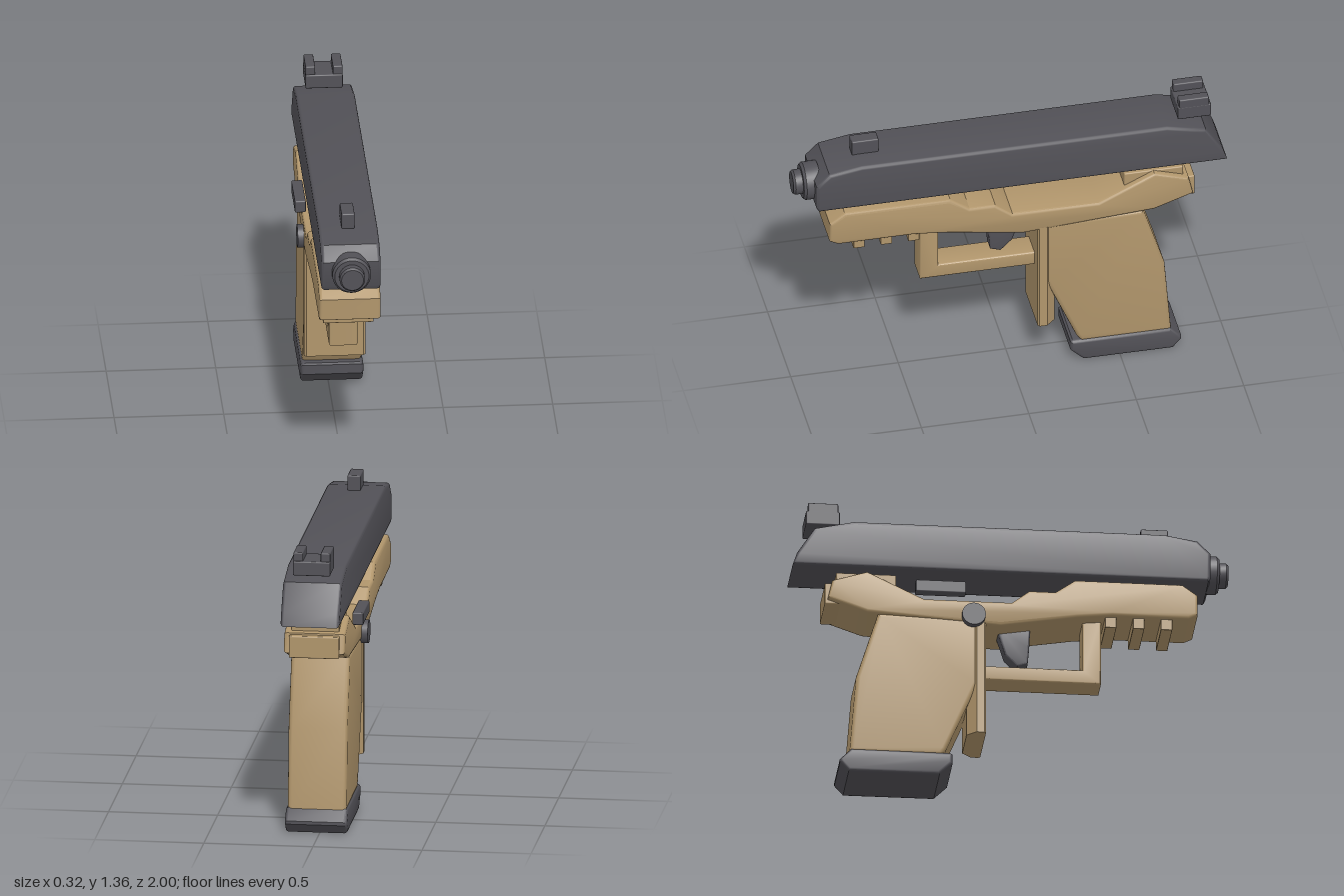
import * as THREE from 'three';
import { toCreasedNormals } from 'three/addons/utils/BufferGeometryUtils.js';
import { RoundedBoxGeometry } from 'three/addons/geometries/RoundedBoxGeometry.js';

const CX = 0.015; // centre plane of the body

export function createModel() {
  const model = new THREE.Group();
  const dark = new THREE.MeshStandardMaterial({ color: 0x525157 });
  dark.name = 'dark grey';
  const tan = new THREE.MeshStandardMaterial({ color: 0xb0956b });
  tan.name = 'tan';

  function add(name, geometry, material) {
    const mesh = new THREE.Mesh(geometry, material);
    mesh.name = name;
    model.add(mesh);
    return mesh;
  }

  // side profile of [z, y] points, extruded across x with softened edges
  function profile(name, points, width, bevel, material) {
    const shape = new THREE.Shape(points.map(([z, y]) => new THREE.Vector2(z, y)));
    const geometry = new THREE.ExtrudeGeometry(shape, {
      depth: width - 2 * bevel, bevelEnabled: true, bevelThickness: bevel,
      bevelSize: bevel, bevelOffset: -bevel, bevelSegments: 3,
    });
    geometry.translate(0, 0, bevel - width / 2);
    geometry.rotateY(-Math.PI / 2);
    geometry.translate(CX, 0, 0);
    return add(name, toCreasedNormals(geometry, 0.6), material);
  }

  // box from its extents, with slightly rounded edges
  function box(name, x0, x1, y0, y1, z0, z1, material, radius = 0.006) {
    const geometry = new RoundedBoxGeometry(x1 - x0, y1 - y0, z1 - z0, 2, radius);
    geometry.translate((x0 + x1) / 2, (y0 + y1) / 2, (z0 + z1) / 2);
    return add(name, geometry, material);
  }

  // slide and muzzle
  profile('slide', [
    [0.9, 1.03], [0.91, 1.05], [0.91, 1.17], [0.85, 1.23], [0.7, 1.255],
    [-0.72, 1.255], [-0.9, 1.215], [-0.98, 1.09], [-1, 1.03],
  ], 0.27, 0.015, dark);
  const muzzle = new THREE.LatheGeometry([
    [0, 0.88], [0.088, 0.88], [0.088, 0.945], [0.078, 0.957], [0.058, 0.957],
    [0.058, 0.99], [0.05, 1], [0, 1],
  ].map(([r, y]) => new THREE.Vector2(r, y)), 32);
  muzzle.rotateX(Math.PI / 2);
  muzzle.translate(CX, 1.12, 0);
  add('muzzle', toCreasedNormals(muzzle, 0.6), dark);

  // sights
  box('frontSight', -0.015, 0.045, 1.25, 1.325, 0.6, 0.725, dark);
  box('rearSightBase', -0.07, 0.1, 1.255, 1.322, -0.935, -0.78, dark);
  for (const side of [-1, 1]) {
    const x = CX + side * 0.0625;
    box('rearSightPost', x - 0.022, x + 0.022, 1.3, 1.362, -0.925, -0.787, dark);
  }

  // frame with its rear tang blocks
  profile('frame', [
    [0.85, 0.855], [0.85, 0.955], [0.78, 1.005], [0.29, 1.005], [0.2, 0.942],
    [0.08, 0.942], [0, 0.88], [-0.4, 0.88], [-0.66, 1.005], [-0.82, 0.955],
    [-0.84, 0.865], [-0.66, 0.803], [-0.05, 0.763], [0.3, 0.82], [0.46, 0.836],
    [0.81, 0.836],
  ], 0.28, 0.014, tan);
  box('rearTopBlock', -0.095, 0.125, 0.9, 1.005, -0.8, -0.525, tan);
  box('rearTang', -0.1, 0.13, 0.845, 0.948, -0.852, -0.74, tan);

  // accessory rail ribs
  for (let i = 0; i < 3; i++) {
    const z = 0.71 - i * 0.1275;
    box('railRib', -0.1, 0.13, 0.785, 0.85, z - 0.026, z + 0.026, tan, 0.003);
  }

  // trigger and guard
  profile('triggerGuard', [
    [0.33, 0.84], [0.415, 0.84], [0.415, 0.522], [-0.15, 0.522], [-0.15, 0.59], [0.33, 0.59],
  ], 0.13, 0.008, tan);
  profile('trigger', [
    [0.095, 0.8], [0.09, 0.7], [0.083, 0.622], [0.035, 0.606], [-0.02, 0.66],
    [-0.055, 0.77], [-0.05, 0.8],
  ], 0.08, 0.008, dark);

  // front strap: full width in front, tapering toward the back
  const strapShape = new THREE.Shape([
    [-0.13, 0.117], [-0.14, 0.125], [-0.14, 0.16], [-0.1, 0.203],
    [0.1, 0.203], [0.14, 0.16], [0.14, 0.125], [0.13, 0.117],
  ].map(([x, z]) => new THREE.Vector2(x, z)));
  const strap = new THREE.ExtrudeGeometry(strapShape, { depth: 0.56, bevelEnabled: false });
  strap.rotateX(-Math.PI / 2);
  strap.translate(CX, 0.222, 0);
  add('frontStrap', strap, tan);

  // grip and its base
  profile('grip', [
    [-0.155, 0.79], [-0.155, 0.47], [-0.3, 0.13], [-0.32, 0.1], [-0.74, 0.1],
    [-0.71, 0.48], [-0.61, 0.8],
  ], 0.27, 0.02, tan);
  profile('gripBase', [
    [-0.27, 0.105], [-0.27, 0.06], [-0.33, 0.002], [-0.745, 0], [-0.785, 0.045],
    [-0.785, 0.06], [-0.735, 0.112], [-0.28, 0.112],
  ], 0.285, 0.015, dark);

  // controls on the right side
  box('sideLever', -0.16, -0.11, 0.9, 0.958, -0.442, -0.212, dark);
  const knob = new THREE.CylinderGeometry(0.054, 0.054, 0.05, 24);
  knob.rotateZ(Math.PI / 2);
  knob.translate(-0.128, 0.802, -0.175);
  add('sideButton', knob, dark);

  return model;
}
